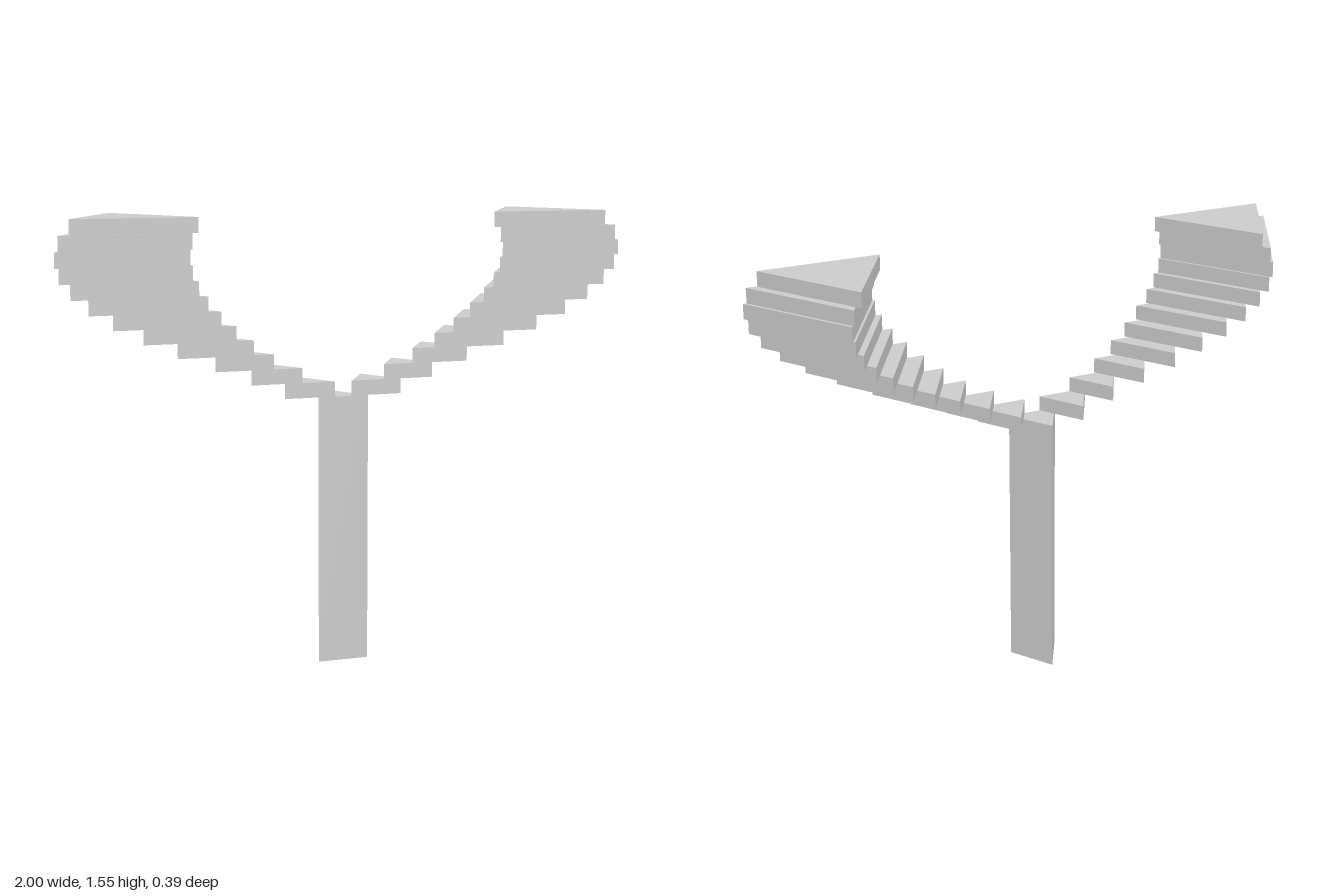
import * as THREE from 'three';

const STEM_TOP = 0.933;
const STEP = 0.0518;
const CENTRE_Z = 0.0645;

// Each layer of an arm, bottom to top: [centre x, triangle circumradius]
const LAYERS = [
  [0.12, 0.104], [0.238, 0.104], [0.353, 0.118], [0.457, 0.151],
  [0.548, 0.182], [0.627, 0.21], [0.691, 0.23], [0.737, 0.245],
  [0.766, 0.254], [0.777, 0.257], [0.767, 0.254], [0.737, 0.245],
];

export function createModel() {
  const model = new THREE.Group();
  model.name = 'forkedSteps';
  const material = new THREE.MeshStandardMaterial({ color: 0xcccccc, flatShading: true });

  // Upright triangular prism: flat face to the front, edge to the back
  const prism = (name, radius, x, bottom, height) => {
    const geometry = new THREE.CylinderGeometry(radius, radius, height, 3, 1, false, Math.PI);
    const mesh = new THREE.Mesh(geometry, material);
    mesh.name = name;
    mesh.position.set(x, bottom + height / 2, CENTRE_Z);
    return mesh;
  };

  model.add(prism('stem', 0.104, 0, 0, STEM_TOP));

  // Two mirrored arms of stacked, widening slabs
  for (const side of [1, -1]) {
    const arm = new THREE.Group();
    arm.name = side > 0 ? 'leftArm' : 'rightArm';
    LAYERS.forEach(([x, radius], i) => {
      arm.add(prism(`armStep${i + 1}`, radius, side * x, STEM_TOP + i * STEP, STEP));
    });
    model.add(arm);
  }
  return model;
}
